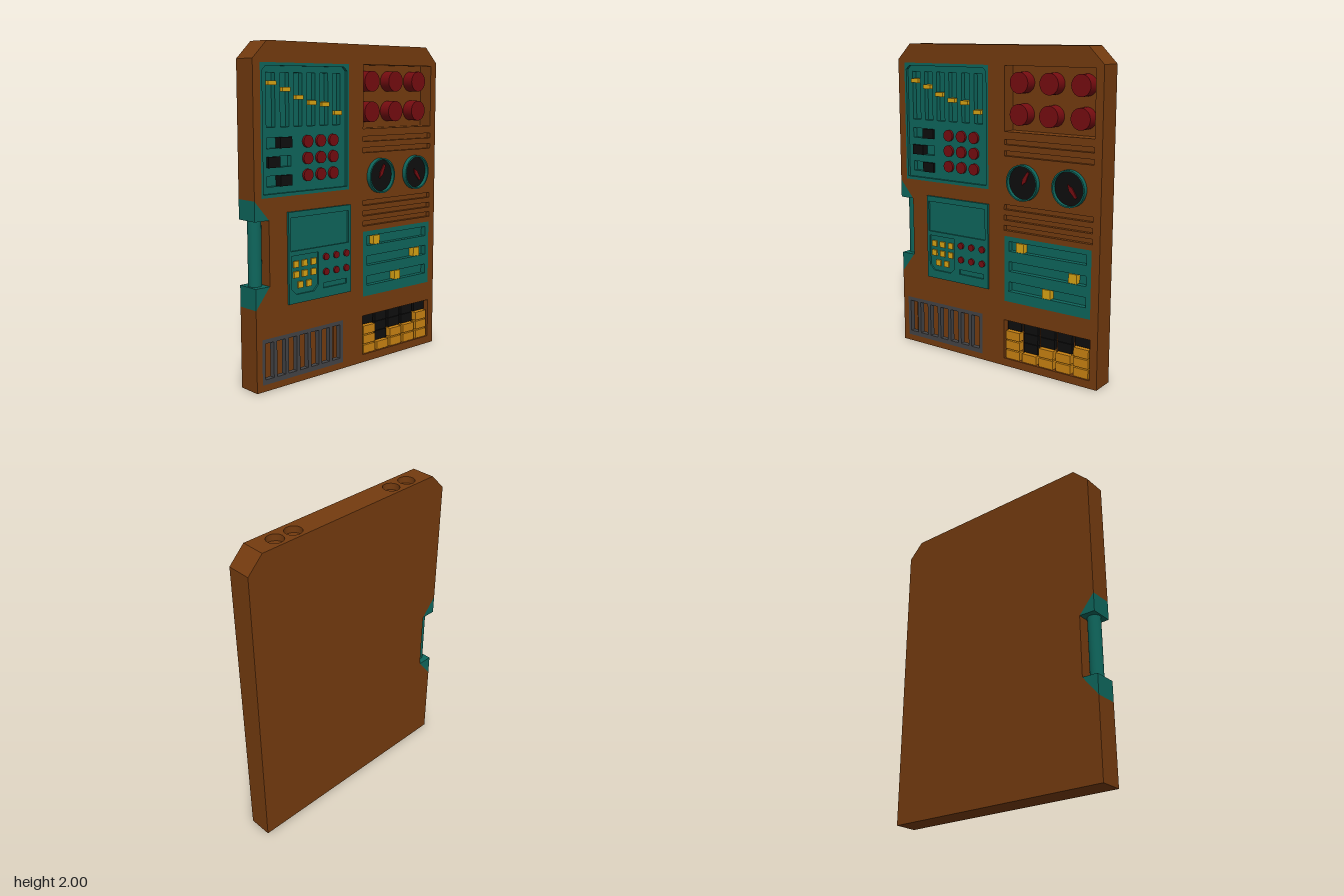
import * as THREE from 'three';

const mat = (name, color) => {
  const m = new THREE.MeshStandardMaterial({ color });
  m.name = name;
  return m;
};

export function createModel() {
  const brown = mat('brown', 0x743b0f), teal = mat('teal', 0x0e665c), red = mat('red', 0x750c10);
  const yellow = mat('yellow', 0xd8a414), orange = mat('orange', 0xc98212);
  const black = mat('black', 0x0e0e0e), grey = mat('grey', 0x434345);
  const model = new THREE.Group();
  model.name = 'controlPanel';

  const add = (name, geo, material, parent = model) => {
    const mesh = new THREE.Mesh(geo, material);
    mesh.name = name;
    parent.add(mesh);
    return mesh;
  };
  const group = (name) => {
    const g = new THREE.Group();
    g.name = name;
    model.add(g);
    return g;
  };
  const rect = (x0, x1, y0, y1) => [[x0, y0], [x1, y0], [x1, y1], [x0, y1]];
  const toPoints = (pts) => pts.map(([x, y]) => new THREE.Vector2(x, y));
  const ring = (cx, cy, r) => Array.from({ length: 48 }, (_, i) => {
    const a = (i / 48) * Math.PI * 2;
    return [cx + r * Math.cos(a), cy + r * Math.sin(a)];
  });
  const prism = (outline, holes, depth) => {
    const shape = new THREE.Shape(toPoints(outline));
    holes.forEach((h) => shape.holes.push(new THREE.Path(toPoints(h))));
    return new THREE.ExtrudeGeometry(shape, { depth, bevelEnabled: false });
  };
  // Flat plate facing the front, from z0 to z1
  const plate = (name, outline, holes, z0, z1, m, parent) =>
    add(name, prism(outline, holes, z1 - z0).translate(0, 0, z0), m, parent);
  const box = (name, x0, x1, y0, y1, z0, z1, m, parent) =>
    add(name, new THREE.BoxGeometry(x1 - x0, y1 - y0, z1 - z0)
      .translate((x0 + x1) / 2, (y0 + y1) / 2, (z0 + z1) / 2), m, parent);
  const key = (name, x, y, w, h, z0, z1, m, parent) =>
    box(name, x - w / 2, x + w / 2, y - h / 2, y + h / 2, z0, z1, m, parent);
  const knob = (name, x, y, r, z0, z1, m, parent) =>
    add(name, new THREE.CylinderGeometry(r, r, z1 - z0, 32).rotateX(Math.PI / 2)
      .translate(x, y, (z0 + z1) / 2), m, parent);

  const BACK = -0.09, FLOOR = -0.03, FRONT = 0.06, CAP = 1.96;

  // Body: solid back layer and a front layer cut with recesses
  const body = group('body');
  const outline = [[-0.75, 0], [0.75, 0], [0.75, 1.9], [0.69, CAP], [-0.69, CAP], [-0.75, 1.9],
    [-0.75, 1.114], [-0.65, 0.997], [-0.65, 0.615], [-0.75, 0.488]];
  const mixer = rect(-0.7, -0.035, 1.125, 1.88);
  const buttonBay = rect(0.085, 0.7, 1.49, 1.88);
  const faderBay = rect(0.087, 0.697, 0.43, 0.847);
  const ventBay = rect(-0.71, -0.085, 0.04, 0.31);
  const meterBay = rect(0.085, 0.7, 0.05, 0.305);
  const grooves = [1.427, 1.358, 1.028, 0.962, 0.898].map((y) => rect(0.085, 0.7, y - 0.016, y + 0.016));
  plate('backLayer', outline, [], BACK, FLOOR, brown, body);
  plate('frontLayer', outline, [mixer, buttonBay, faderBay, ventBay, meterBay, ...grooves],
    FLOOR, FRONT, brown, body);
  grooves.forEach((g) => plate('grooveFloor', g, [], FLOOR, 0.035, brown, body));

  // Top cap with four round sockets
  const sockets = [-0.5, -0.37, 0.378, 0.505].map((x) => ring(x, 0.018, 0.051));
  add('topCap', prism(rect(-0.65, 0.65, -FRONT, -BACK), sockets, 2 - CAP)
    .rotateX(-Math.PI / 2).translate(0, CAP, 0), brown, body);
  plate('leftCorner', [[0.65, CAP], [0.69, CAP], [0.65, 2]], [], BACK, FRONT, brown, body);
  plate('rightCorner', [[-0.69, CAP], [-0.65, CAP], [-0.65, 2]], [], BACK, FRONT, brown, body);

  // Side handle
  const handle = group('handle');
  plate('upperBracket', [[-0.75, 1.114], [-0.75, 0.997], [-0.65, 0.997]], [], BACK, FRONT, teal, handle);
  plate('lowerBracket', [[-0.75, 0.488], [-0.65, 0.615], [-0.75, 0.615]], [], BACK, FRONT, teal, handle);
  add('grip', new THREE.CylinderGeometry(0.04, 0.04, 0.382, 32).translate(-0.699, 0.806, -0.015), teal, handle);

  // Mixer panel with sliders, switches and round buttons
  const mix = group('mixerPanel');
  const inner = [[-0.685, 1.145], [-0.052, 1.145], [-0.052, 1.84], [-0.075, 1.862], [-0.66, 1.862], [-0.685, 1.838]];
  const slotX = [-0.616, -0.516, -0.418, -0.32, -0.22, -0.122];
  const sliderY = [1.767, 1.732, 1.687, 1.655, 1.645, 1.592];
  const switchY = [1.432, 1.324, 1.215];
  plate('mixerFloor', mixer, [], FLOOR, 0.01, teal, mix);
  plate('mixerFace', mixer, [
    ...slotX.map((x) => rect(x - 0.031, x + 0.031, 1.52, 1.825)),
    ...switchY.map((y) => rect(-0.648, -0.474, y - 0.031, y + 0.031)),
  ], 0.01, 0.042, teal, mix);
  plate('mixerRim', mixer, [inner], 0.042, FRONT, teal, mix);
  slotX.forEach((x, i) => key('slider', x, sliderY[i], 0.058, 0.026, 0.01, FRONT, yellow, mix));
  switchY.forEach((y, i) => key('switch', i === 1 ? -0.603 : -0.517, y, 0.086, 0.062, 0.01, 0.057, black, mix));
  for (const x of [-0.352, -0.252, -0.153])
    for (const y of [1.432, 1.334, 1.235]) knob('mixerButton', x, y, 0.036, 0.04, 0.058, red, mix);

  // Large red buttons in the deep bay
  const buttons = group('largeButtons');
  for (const x of [0.177, 0.385, 0.597])
    for (const y of [1.78, 1.592]) knob('largeButton', x, y, 0.064, FLOOR, 0.045, red, buttons);

  // Gauges
  const gauges = group('gauges');
  [[0.228, -0.5], [0.548, -2.49]].forEach(([x, angle], i) => {
    plate('gaugeRim', ring(x, 1.193, 0.11), [ring(x, 1.193, 0.101)], FRONT, 0.09, teal, gauges);
    knob('gaugeFace', x, 1.193, 0.102, 0.055, 0.066, black, gauges);
    const needle = add('needle', prism([[0, -0.02], [0.014, 0.015], [0.007, 0.075], [-0.007, 0.075], [-0.014, 0.015]],
      [], 0.008), red, gauges);
    needle.position.set(x, i ? 1.2 : 1.193, 0.066);
    needle.rotation.z = angle;
  });

  // Keypad panel with a screen
  const pad = group('keypadPanel');
  const padEdge = rect(-0.52, -0.03, 0.487, 1.032);
  const keyBay = [[-0.5, 0.575], [-0.465, 0.54], [-0.33, 0.54], [-0.295, 0.575], [-0.295, 0.772], [-0.5, 0.772]];
  plate('keypadBase', padEdge, [], 0.055, 0.063, teal, pad);
  plate('keypadFace', padEdge, [rect(-0.505, -0.053, 0.8, 0.997), keyBay, rect(-0.257, -0.066, 0.546, 0.577)],
    0.063, 0.074, teal, pad);
  [[-0.463, 0.72], [-0.398, 0.72], [-0.331, 0.72], [-0.463, 0.658], [-0.398, 0.658], [-0.331, 0.658],
    [-0.431, 0.594], [-0.366, 0.594]].forEach(([x, y]) => key('key', x, y, 0.038, 0.038, 0.062, 0.074, yellow, pad));
  for (const x of [-0.239, -0.156, -0.073])
    for (const y of [0.737, 0.645]) knob('smallButton', x, y, 0.021, 0.07, 0.086, red, pad);

  // Horizontal faders
  const faders = group('faderPanel');
  const faderY = [0.785, 0.657, 0.528];
  plate('faderFloor', faderBay, [], FLOOR, 0.025, teal, faders);
  plate('faderFace', faderBay, faderY.map((y) => rect(0.12, 0.665, y - 0.031, y + 0.031)), 0.025, FRONT, teal, faders);
  [0.203, 0.575, 0.395].forEach((x, i) => key('faderKnob', x, faderY[i], 0.056, 0.057, 0.025, 0.063, yellow, faders));

  // Vent grille
  const slats = Array.from({ length: 7 }, (_, i) => -0.658 + i * 0.0862);
  plate('ventGrille', ventBay, slats.map((x) => rect(x - 0.031, x + 0.031, 0.07, 0.285)), 0.025, FRONT, grey);

  // Level meter: stacked blocks, lit ones at the bottom
  const meter = group('levelMeter');
  plate('meterFloor', meterBay, [], FLOOR, 0.01, brown, meter);
  [3, 1, 2, 2, 3].forEach((lit, c) => {
    for (let r = 0; r < 4; r++) {
      const on = r < lit;
      key(on ? 'litBlock' : 'darkBlock', 0.148 + c * 0.1222, 0.081 + r * 0.063, 0.102, on ? 0.055 : 0.06,
        0.01, on ? 0.055 : 0.035, on ? orange : black, meter);
    }
  });

  return model;
}
